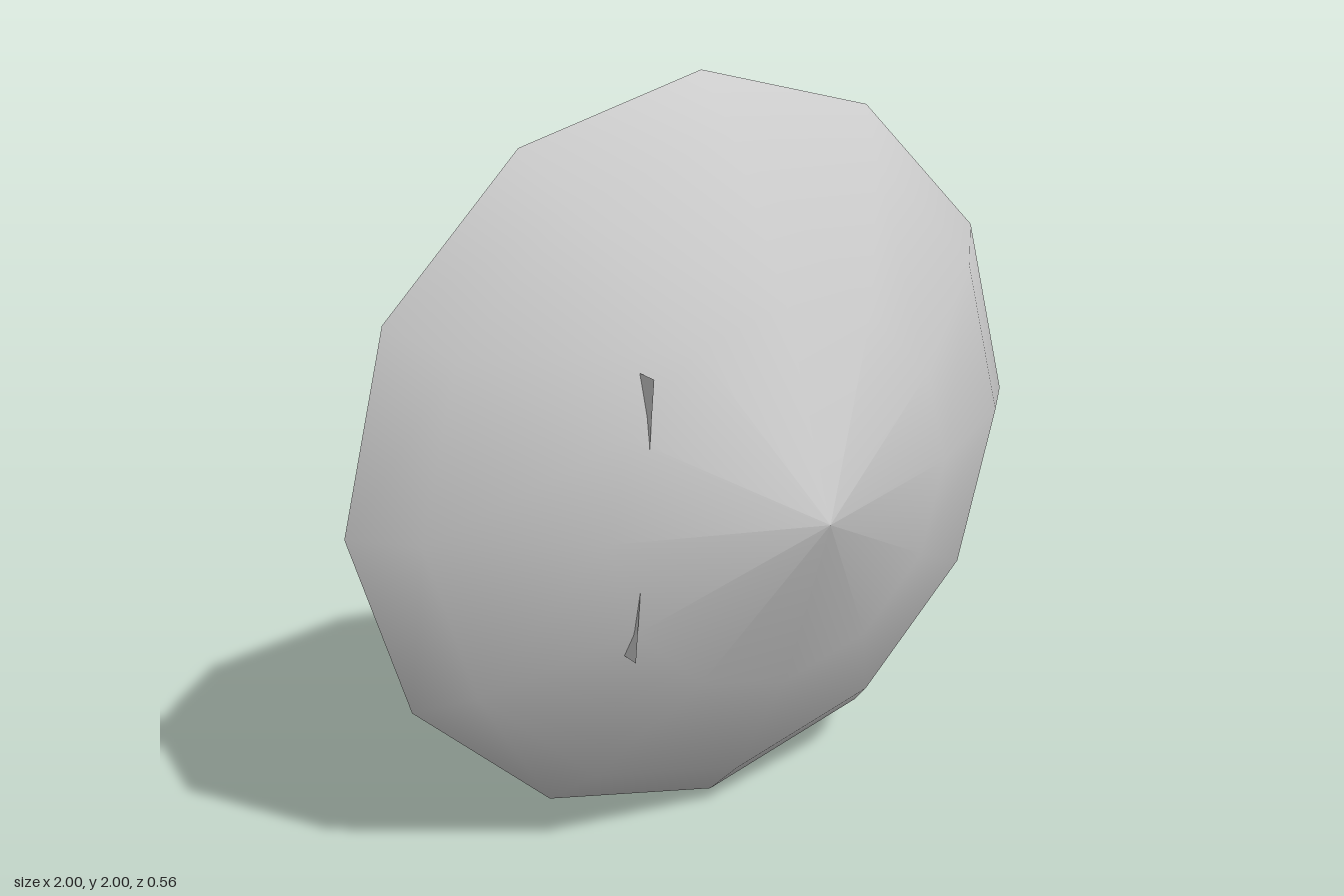
import * as THREE from 'three';

const material = new THREE.MeshStandardMaterial({ color: 0xcccccc, side: THREE.DoubleSide });

// Sheet swept over a grid: at(u, v) returns [x, y, z]
function sheet(at, nu, nv) {
  const geometry = new THREE.PlaneGeometry(1, 1, nu, nv);
  const pos = geometry.attributes.position;
  for (let i = 0; i < pos.count; i++) {
    pos.setXYZ(i, ...at(pos.getX(i) + 0.5, pos.getY(i) + 0.5));
  }
  geometry.computeVertexNormals();
  return geometry;
}

// Flat panel from its centre and two edge vectors
function panel(centre, a, b) {
  return sheet((u, v) => centre.map((c, i) => c + (u - 0.5) * a[i] + (v - 0.5) * b[i]), 1, 1);
}

export function createModel() {
  const group = new THREE.Group();
  const add = (name, geometry) => {
    const mesh = new THREE.Mesh(geometry, material);
    mesh.name = name;
    group.add(mesh);
    return mesh;
  };

  // Twelve-sided bowl, hollow towards the back
  const profile = [[1, -0.28], [0.866, -0.14], [0.5, 0.09], [0, 0.28]]
    .map(([r, h]) => new THREE.Vector2(r, h));
  add('dish', new THREE.LatheGeometry(profile, 12).rotateX(Math.PI / 2)).position.y = 1;

  // Tall thin panel whose front corners just pierce the bowl
  add('sidePanel', panel([-0.42, 1.035, -0.07], [0.019, 0, 0.353], [0.065, 0.707, 0.007]));

  // Thin curved arm, flaring into wide feet at both ends
  const reach = THREE.MathUtils.degToRad(134);
  add('curvedArm', sheet((u, v) => {
    const angle = (2 * v - 1) * reach;
    const flare = Math.max(0, (Math.abs(2 * v - 1) - 0.5) / 0.5);
    const halfWidth = 0.003 + 0.08 * flare ** 2;
    return [(2 * u - 1) * halfWidth, 1 + 0.2 * Math.sin(angle), -0.13 + 0.2 * Math.cos(angle)];
  }, 1, 48));

  // Short open collar at the middle of the back
  add('collar', new THREE.CylinderGeometry(0.056, 0.056, 0.03, 24, 1, true).rotateX(Math.PI / 2))
    .position.set(0, 1, -0.265);

  // Small tilted tab inside the bowl
  add('smallTab', panel([0.23, 0.79, -0.02], [-0.025, 0.03, 0.03], [-0.07, -0.05, 0.024]));

  return group;
}
